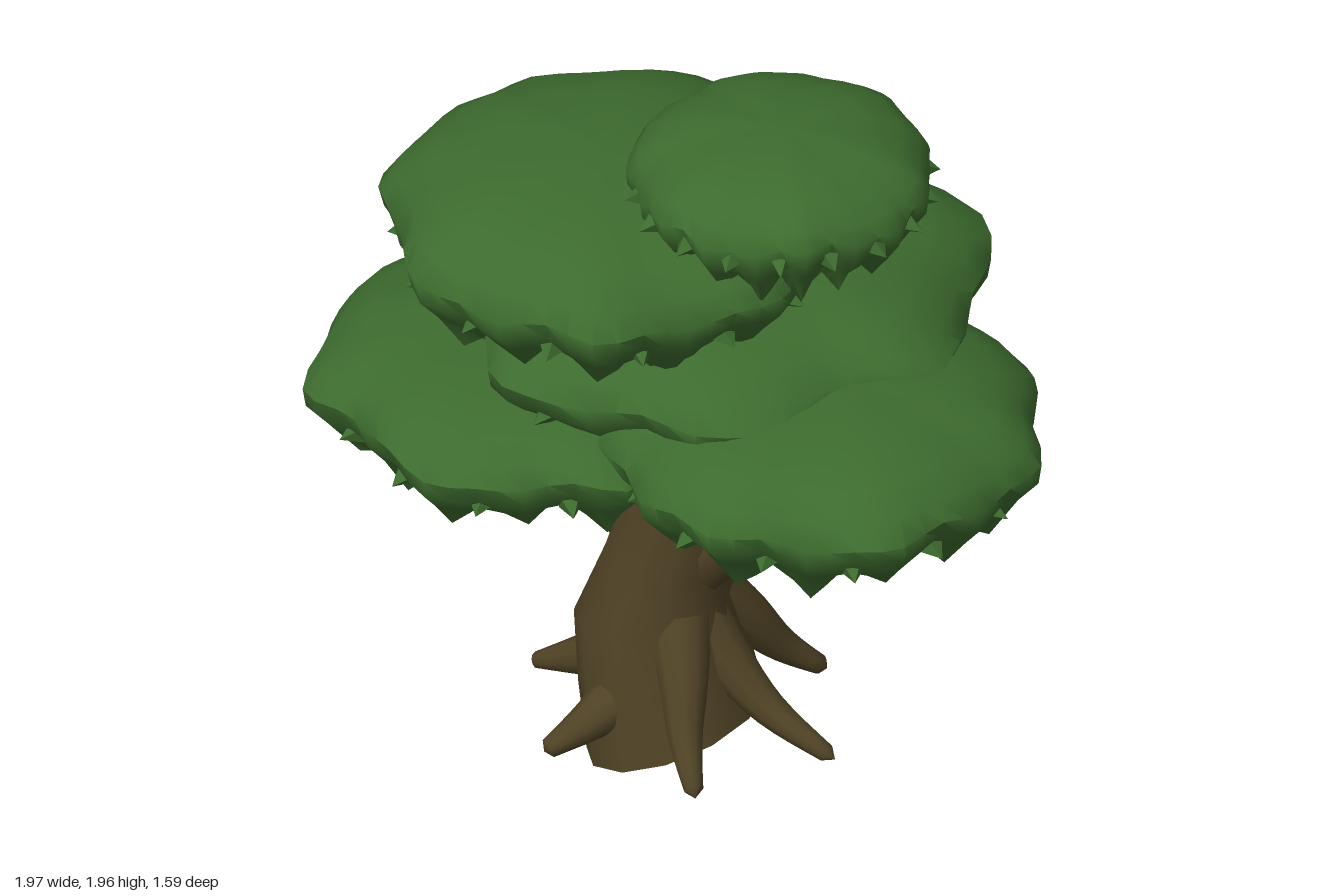
import * as THREE from 'three';
import { toCreasedNormals } from 'three/addons/utils/BufferGeometryUtils.js';

const leafGreen = new THREE.MeshStandardMaterial({ color: 0x3d6b2e });
const barkBrown = new THREE.MeshStandardMaterial({ color: 0x4f4225 });
leafGreen.name = 'leafGreen';
barkBrown.name = 'barkBrown';

const V = (x, y, z) => new THREE.Vector3(x, y, z);

function addMesh(parent, name, geometry, material, crease = 0.8) {
  const mesh = new THREE.Mesh(toCreasedNormals(geometry, crease), material);
  mesh.name = name;
  parent.add(mesh);
  return mesh;
}

// Skin over closed rings listed from top to bottom; point(i, j) gives each corner
function loft(rows, cols, point) {
  const pos = [], index = [];
  for (let i = 0; i < rows; i++) {
    for (let j = 0; j < cols; j++) pos.push(...point(i, j).toArray());
  }
  for (let i = 0; i < rows - 1; i++) {
    for (let j = 0; j < cols; j++) {
      const k = (j + 1) % cols;
      const a = i * cols + j, b = i * cols + k, c = a + cols, d = b + cols;
      index.push(a, b, c, b, d, c);
    }
  }
  const g = new THREE.BufferGeometry();
  g.setAttribute('position', new THREE.Float32BufferAttribute(pos, 3));
  g.setIndex(index);
  return g;
}

// Domed leaf pad with a scalloped, tucked-in skirt and a fan-shaped underside.
// Its outline has seven broad lobes of size lobe, one of them at lobeAt degrees.
function leafPad(name, { x, z, rim, rx, rz, up, down, seed, lobe, lobeAt, teeth = 14, tip = 0.043, tipDrop = 0.42 }) {
  const group = new THREE.Group();
  group.name = name;
  group.position.set(x, rim, z);
  const cols = teeth * 4;
  // radius, height (up or down share), strength of the scallops
  const profile = [
    [0, 1, 0], [0.3, 0.97, 0.1], [0.58, 0.85, 0.25], [0.8, 0.62, 0.5], [0.93, 0.34, 0.8],
    [1, 0.03, 1], [0.975, -0.24, 1], [0.88, -0.55, 1], [0.745, -0.88, 1], [0, -0.35, 0],
  ];
  const wave = a => Math.cos(7 * (a - THREE.MathUtils.degToRad(lobeAt)));
  const outline = a => lobe * wave(a) + 0.012 * Math.sin(4 * a + seed) + 0.014 * Math.sin(11 * a + seed * 4.1);
  addMesh(group, name + 'Leaves', loft(profile.length, cols, (i, j) => {
    const [r, h, s] = profile[i];
    const a = j / cols * Math.PI * 2;
    const tooth = 1 - Math.abs((j % 4) - 2) / 2;
    const fold = (h < 0 ? 0.045 : 0.02) * (tooth - 0.5);
    const radius = r * (1 + outline(a) * s) + fold * s;
    let y = h * (h > 0 ? up : down) + 0.012 * s * Math.sin(6 * a + seed * 3);
    if (i > 4) y += 0.015 * s * (0.5 - tooth);
    if (i === 8) y += down * (0.34 * (0.5 - tooth) + 0.1 * Math.sin(4 * a + seed));
    return V(Math.cos(a) * radius * rx, y, Math.sin(a) * radius * rz);
  }), leafGreen, 0.9);

  // Small leaf tips poking out of the skirt
  for (let k = 0; k < teeth; k++) {
    const a = k / teeth * Math.PI * 2;
    const leaf = addMesh(group, 'leafTip', new THREE.ConeGeometry(tip, tip * 1.6, 4), leafGreen, 0.3);
    const r = (1.01 - tipDrop * 0.22) * (1 + outline(a));
    leaf.position.set(Math.cos(a) * r * rx, -tipDrop * down, Math.sin(a) * r * rz);
    leaf.quaternion.setFromUnitVectors(V(0, 1, 0), V(Math.cos(a), -0.3, Math.sin(a)).normalize());
  }
  return group;
}

// Round limb tapering along a path, closed at its end
function limb(parent, name, points, r0, r1) {
  const curve = new THREE.CatmullRomCurve3(points.map(p => V(...p)));
  const n = 14, sides = 10;
  const g = new THREE.TubeGeometry(curve, n, 1, sides);
  const pos = g.attributes.position, v = V(0, 0, 0);
  for (let i = 0; i <= n; i++) {
    // the last two rings make the blunt end
    const c = curve.getPointAt(Math.min(i, n - 0.4) / n);
    const r = i === n ? 0 : r0 + (r1 - r0) * i / (n - 1);
    for (let j = 0; j <= sides; j++) {
      const k = i * (sides + 1) + j;
      v.fromBufferAttribute(pos, k).sub(curve.getPointAt(i / n)).multiplyScalar(r).add(c);
      pos.setXYZ(k, v.x, v.y, v.z);
    }
  }
  addMesh(parent, name, g, barkBrown, 0.9);
}

export function createModel() {
  const tree = new THREE.Group();
  tree.name = 'tree';

  // Leaning trunk: centre x, centre y, x radius, z radius, slope across x
  const rings = [
    [0.05, 1.2, 0, 0, 0], [0.05, 1.2, 0.1, 0.1, 0], [0.04, 0.95, 0.15, 0.14, -0.1],
    [0.01, 0.75, 0.16, 0.155, -0.15], [-0.025, 0.62, 0.165, 0.175, -0.1],
    [-0.075, 0.45, 0.205, 0.21, 0.24], [-0.045, 0.26, 0.215, 0.24, 0.3],
    [-0.01, 0.085, 0.215, 0.275, 0.36], [-0.01, 0.085, 0, 0, 0],
  ];
  addMesh(tree, 'trunk', loft(rings.length, 12, (i, j) => {
    const [x, y, rx, rz, slope] = rings[i];
    const a = j / 12 * Math.PI * 2;
    return V(x + Math.cos(a) * rx, y + Math.cos(a) * rx * slope, 0.165 + Math.sin(a) * rz);
  }), barkBrown);

  // Roots: one each side, then pairs mirrored front to back
  limb(tree, 'rightRoot', [[-0.14, 0.27, 0.17], [-0.26, 0.205, 0.17], [-0.44, 0.122, 0.175]], 0.09, 0.022);
  limb(tree, 'leftRoot', [[0, 0.53, 0.17], [0.13, 0.35, 0.17], [0.26, 0.225, 0.17], [0.48, 0.122, 0.17]], 0.095, 0.024);
  for (const s of [1, -1]) {
    const at = (x, y, d) => [x, y, 0.165 + s * d];
    limb(tree, 'sideRoot', [at(0, 0.52, 0.03), at(0.1, 0.36, 0.155), at(0.16, 0.23, 0.245), at(0.25, 0.12, 0.345)], 0.1, 0.026);
    limb(tree, 'sideRoot', [at(-0.06, 0.26, 0.13), at(-0.11, 0.205, 0.24), at(-0.2, 0.13, 0.36)], 0.085, 0.026);
  }

  // Branches holding up the leaf pads
  limb(tree, 'leftBranch', [[0.04, 0.62, 0.17], [0.16, 0.74, 0.17], [0.29, 0.88, 0.15], [0.45, 1.08, 0.14]], 0.11, 0.045);
  limb(tree, 'rightBranch', [[-0.04, 0.66, 0.17], [-0.17, 0.73, 0.19], [-0.28, 0.83, 0.2], [-0.42, 1.02, 0.2]], 0.09, 0.04);
  limb(tree, 'backBranch', [[0.02, 0.68, 0.12], [0.02, 0.85, -0.03], [0, 1.2, -0.2]], 0.1, 0.05);
  limb(tree, 'topBranch', [[0.05, 1.0, 0.16], [0.05, 1.3, 0.13], [0.22, 1.75, 0.05]], 0.09, 0.05);

  // Crown
  tree.add(
    leafPad('topPad', {
      x: 0.24, z: 0.06, rim: 1.83, rx: 0.39, rz: 0.39, up: 0.14, down: 0.18, seed: 1,
      lobe: 0.01, lobeAt: 0, teeth: 18, tip: 0.05, tipDrop: 0.2,
    }),
    leafPad('upperPad', {
      x: -0.21, z: 0.155, rim: 1.6, rx: 0.58, rz: 0.575, up: 0.19, down: 0.21, seed: 2.2, lobe: 0.035, lobeAt: 218,
    }),
    leafPad('backPad', {
      x: -0.03, z: -0.08, rim: 1.3, rx: 0.685, rz: 0.685, up: 0.185, down: 0.205, seed: 4.5, lobe: 0.055, lobeAt: 261,
    }),
    leafPad('rightPad', {
      x: -0.39, z: 0.2, rim: 1.08, rx: 0.575, rz: 0.57, up: 0.15, down: 0.2, seed: 3.1, lobe: 0.05, lobeAt: 90,
    }),
    leafPad('leftPad', {
      x: 0.43, z: 0.17, rim: 1.16, rx: 0.56, rz: 0.565, up: 0.18, down: 0.205, seed: 5.7, lobe: 0.035, lobeAt: 300,
    }),
  );
  return tree;
}
